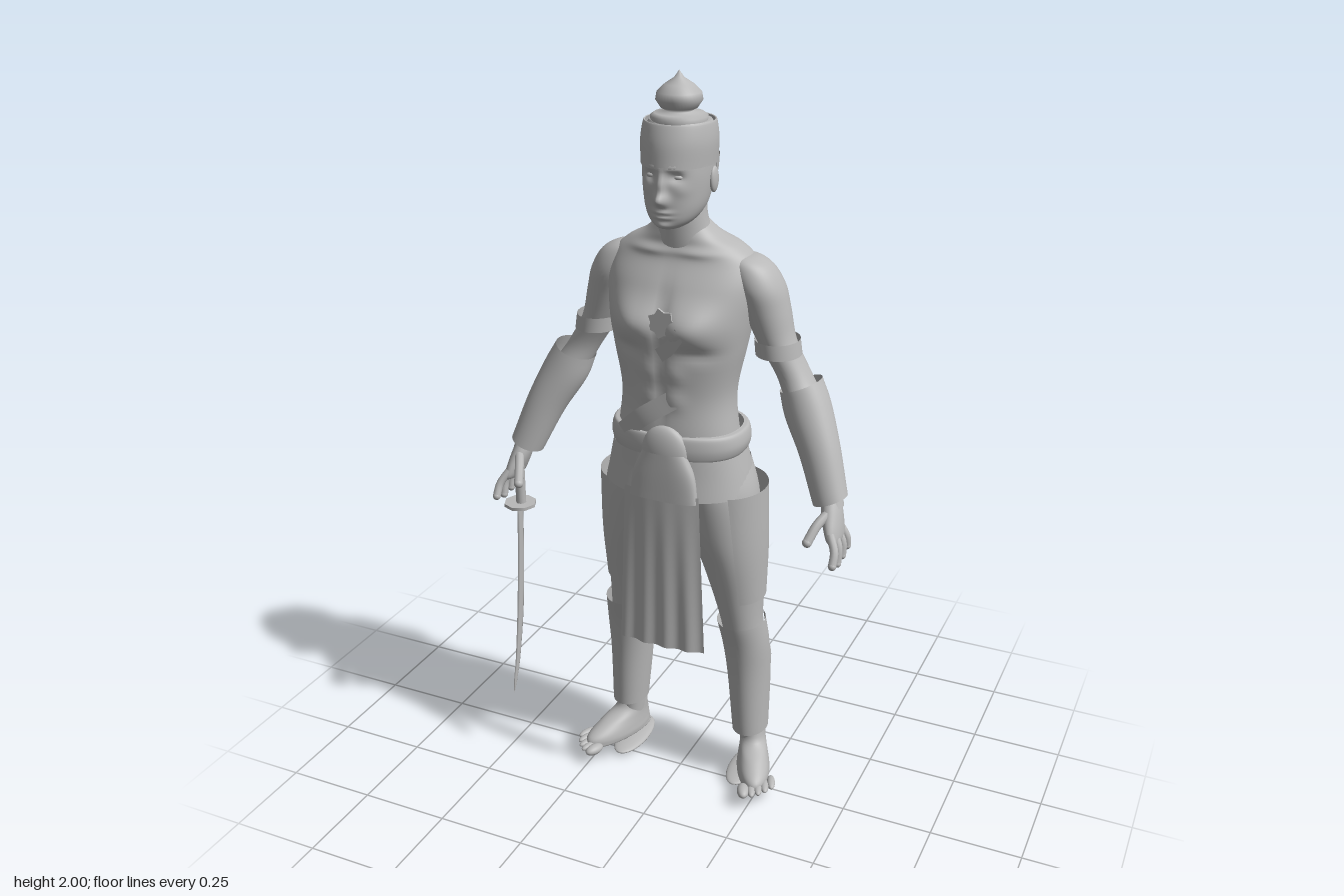
import * as THREE from 'three';

const grey = new THREE.MeshStandardMaterial({ color: 0xb8b8b8, side: THREE.DoubleSide });
grey.name = 'plain grey';

function mesh(name, geo, pos = [0, 0, 0], scale = [1, 1, 1]) {
  const m = new THREE.Mesh(geo, grey);
  m.name = name;
  m.position.set(...pos);
  m.scale.set(...scale);
  return m;
}
const ball = (name, pos, r) => mesh(name, new THREE.SphereGeometry(1, 24, 16), pos, r);

// Smooth skin over oval rings, listed from top to bottom as [x, y, z, halfWidth, halfDepth].
// s = -1 mirrors in x; bumps are [x, y, spreadX, spreadY, height, side] soft swellings in z.
function loft(name, rows, { s = 1, seg = 40, sub = 5, e = 2, tilt = 0, arc = null, bumps = [] } = {}) {
  const centre = new THREE.CatmullRomCurve3(rows.map(r => new THREE.Vector3(r[0], r[1], r[2])), false, 'catmullrom', 0.5);
  const size = new THREE.CatmullRomCurve3(rows.map(r => new THREE.Vector3(r[3], r[4], 0)), false, 'catmullrom', 0.5);
  const [a0, a1] = arc || [0, Math.PI * 2];
  const n = (rows.length - 1) * sub, cols = arc ? seg + 1 : seg;
  const pos = [], idx = [];
  const round = v => Math.sign(v) * Math.abs(v) ** (2 / e);
  for (let i = 0; i <= n; i++) {
    const c = centre.getPoint(i / n), r = size.getPoint(i / n);
    for (let j = 0; j < cols; j++) {
      const a = a0 + (a1 - a0) * j / seg;
      const dx = round(Math.cos(a)) * Math.max(r.x, 0), y = c.y + dx * tilt;
      let z = c.z + round(Math.sin(a)) * Math.max(r.y, 0);
      for (const [bx, by, sx, sy, h, side = 1] of bumps) {
        const facing = Math.max(0, Math.sin(a) * side);
        for (const m of bx ? [1, -1] : [1]) {
          z += side * h * facing * Math.exp(-(((c.x + dx - m * bx) / sx) ** 2) - ((y - by) / sy) ** 2);
        }
      }
      pos.push(s * (c.x + dx), y, z);
      if (i < n && (j < seg)) {
        const k = (j + 1) % cols, p = i * cols + j, q = i * cols + k;
        const t = [p, q, p + cols, q, q + cols, p + cols];
        idx.push(...(s < 0 ? t.reverse() : t));
      }
    }
  }
  const g = new THREE.BufferGeometry();
  g.setAttribute('position', new THREE.Float32BufferAttribute(pos, 3));
  g.setIndex(idx);
  g.computeVertexNormals();
  return mesh(name, g);
}

// Rounded finger through a few points
function finger(name, pts, r, s) {
  const v = pts.map(p => new THREE.Vector3(p[0] * s, p[1], p[2]));
  const g = new THREE.Group();
  g.name = name;
  g.add(mesh(name, new THREE.TubeGeometry(new THREE.CatmullRomCurve3(v), 10, r, 10)));
  g.add(ball(name + 'Tip', v[v.length - 1].toArray(), [r, r, r]));
  return g;
}

// Thin flat band through points, widened along the given direction
function ribbon(name, pts, wide) {
  const curve = new THREE.CatmullRomCurve3(pts.map(p => new THREE.Vector3(...p)));
  const w = new THREE.Vector3(...wide), g = new THREE.PlaneGeometry(1, 1, 1, 16), p = g.attributes.position;
  for (let i = 0; i < p.count; i++) {
    const v = curve.getPoint(0.5 - p.getY(i)).addScaledVector(w, p.getX(i));
    p.setXYZ(i, v.x, v.y, v.z);
  }
  g.computeVertexNormals();
  return mesh(name, g);
}

function buildHead() {
  const head = new THREE.Group();
  head.name = 'head';
  head.position.x = .008;
  head.add(loft('face', [
    [0, 1.885, .02, 0, 0], [0, 1.88, .02, .06, .065], [0, 1.85, .02, .082, .093], [0, 1.78, .025, .084, .105],
    [0, 1.73, .03, .081, .1], [0, 1.685, .042, .072, .086], [0, 1.655, .06, .054, .064], [0, 1.638, .075, .028, .036], [0, 1.634, .075, 0, 0],
  ], { seg: 96, sub: 10, e: 2.1, bumps: [
    [0, 1.712, .016, .016, .025], [0, 1.745, .01, .028, .014], [.034, 1.766, .018, .012, -.012], [.03, 1.79, .028, .008, .005],
    [0, 1.682, .024, .006, .009], [0, 1.669, .022, .005, .008], [0, 1.648, .022, .01, .008], [.05, 1.735, .018, .015, .004],
  ] }));
  head.add(loft('neck', [[-.004, 1.72, -.01, .06, .062], [-.004, 1.66, .0, .064, .056], [-.004, 1.61, -.008, .074, .062], [-.004, 1.56, -.02, .095, .07]]));
  for (const s of [1, -1]) {
    head.add(ball('eye', [s * .033, 1.765, .108], [.014, .007, .009]));
    head.add(ball('ear', [s * .085, 1.745, .01], [.009, .032, .02]));
  }
  // Headband, cap and bulb-shaped topknot
  head.add(loft('headband', [[0, 1.885, .02, .083, .088], [0, 1.882, .02, .088, .093], [0, 1.84, .022, .093, .104], [0, 1.785, .023, .09, .11]]));
  head.add(loft('hairBack', [[0, 1.8, .0, .088, .088], [0, 1.75, .0, .082, .084], [0, 1.7, .0, .062, .066]], { arc: [Math.PI, Math.PI * 2] }));
  head.add(mesh('cap', new THREE.CylinderGeometry(.075, .085, .015, 40), [.002, 1.878, .022]));
  const knot = [[.068, 1.88], [.07, 1.895], [.06, 1.902], [.03, 1.905], [.045, 1.914], [.057, 1.932], [.054, 1.95], [.035, 1.968], [.012, 1.983], [0, 2]];
  head.add(mesh('topknot', new THREE.LatheGeometry(knot.map(p => new THREE.Vector2(...p)), 40), [.002, 0, .03]));
  return head;
}

function buildTorso() {
  const body = new THREE.Group();
  body.name = 'body';
  body.add(loft('torso', [
    [0, 1.64, -.01, .06, .055], [0, 1.605, -.02, .098, .068], [0, 1.575, -.033, .152, .082], [0, 1.54, -.033, .188, .095], [0, 1.48, -.02, .2, .115],
    [0, 1.4, -.008, .19, .132], [0, 1.32, .0, .176, .128], [0, 1.2, .005, .153, .115], [0, 1.1, .008, .16, .118],
    [0, 1, 0, .178, .125], [0, .92, -.01, .165, .115], [0, .86, -.01, .09, .07], [0, .85, -.01, 0, 0],
  ], { seg: 80, sub: 8, e: 2.2, bumps: [
    [.085, 1.395, .07, .05, .03], [0, 1.4, .018, .08, -.014], [.1, 1.325, .05, .018, -.01],
    [.038, 1.27, .026, .025, .006], [.038, 1.2, .026, .025, .006], [0, 1.23, .01, .09, -.006], [.07, 1.565, .06, .012, .008],
    [.1, 1.45, .06, .08, .016, -1], [0, 1.35, .025, .2, -.016, -1], [.05, 1.17, .035, .08, .008, -1],
  ] }));
  // Shoulder-to-hip strap and chest ornament
  body.add(ribbon('frontStrap', [[.06, 1.385, .145], [.03, 1.345, .137], [0, 1.32, .132]], [.02, -.03, 0]));
  body.add(ribbon('bellyStrap', [[.03, 1.2, .121], [-.05, 1.145, .128], [-.11, 1.09, .115]], [.03, -.04, 0]));
  body.add(ribbon('backStrap', [[.06, 1.4, -.138], [0, 1.28, -.126], [-.1, 1.11, -.114]], [.045, .035, 0]));
  const badge = new THREE.Shape();
  for (let i = 0; i < 14; i++) {
    const a = i / 14 * Math.PI * 2, r = i % 2 ? .03 : .04;
    badge[i ? 'lineTo' : 'moveTo'](Math.cos(a) * r, Math.sin(a) * r);
  }
  body.add(mesh('chestOrnament', new THREE.ExtrudeGeometry(badge, { depth: .006, bevelEnabled: false }), [.01, 1.405, .131]));
  // Belt, hip sash and knots
  body.add(loft('belt', [[.003, 1.105, 0, .165, .122], [.003, 1.1, 0, .18, .132], [.003, 1.07, 0, .186, .136], [.003, 1.045, 0, .18, .134], [.003, 1.035, 0, .17, .13]], { e: 2.3, seg: 56 }));
  body.add(loft('hipSash', [[0, 1.045, 0, .178, .134], [0, .99, -.003, .19, .14], [0, .93, -.006, .202, .15]], { e: 2.3, seg: 56 }));
  body.add(ball('frontKnot', [.012, 1.055, .125], [.065, .075, .027]));
  body.add(loft('frontFan', [[.012, 1.06, .125, .06, .027], [.012, 1, .13, .085, .024], [.012, .93, .134, .095, .021]], { e: 2.6 }));
  body.add(ball('backKnot', [0, .99, -.138], [.055, .04, .015]));
  // Pleated front cloth, tail cloth and side strip
  const cloth = new THREE.PlaneGeometry(1, .46, 48, 8), p = cloth.attributes.position;
  for (let i = 0; i < p.count; i++) {
    const u = p.getX(i), d = .5 - p.getY(i) / .46;
    p.setXYZ(i, .007 + u * (.21 + .035 * d), p.getY(i) + .72, .149 - .05 * u * u + .004 * d * Math.sin(u * 24));
  }
  cloth.computeVertexNormals();
  body.add(mesh('frontCloth', cloth));
  body.add(ribbon('tailCloth', [[.05, .96, -.146], [.05, .87, -.142], [.055, .77, -.135]], [.08, -.01, 0]));
  body.add(ribbon('sideStrip', [[-.2, 1.03, -.05], [-.228, .8, -.05], [-.228, .6, -.06], [-.215, .42, -.085]], [.01, 0, .075]));
  return body;
}

function buildArm(s) {
  const arm = new THREE.Group();
  arm.name = s > 0 ? 'leftArm' : 'rightArm';
  arm.add(loft('armSkin', [
    [.155, 1.558, -.036, 0, 0], [.16, 1.552, -.036, .035, .04], [.178, 1.528, -.037, .055, .06], [.198, 1.48, -.04, .064, .072], [.218, 1.42, -.042, .06, .065],
    [.247, 1.34, -.042, .05, .054], [.295, 1.26, -.04, .046, .048], [.337, 1.19, -.022, .05, .05],
    [.385, 1.1, .01, .044, .044], [.425, 1.01, .043, .034, .032], [.442, .965, .055, .03, .032],
  ], { s }));
  arm.add(loft('armBand', [[.25, 1.35, -.035, .057, .066], [.255, 1.31, -.035, .058, .066]], { s, sub: 1 }));
  arm.add(loft('bracer', [[.319, 1.24, -.028, .052, .06], [.345, 1.18, -.014, .057, .06], [.39, 1.09, .016, .05, .052], [.435, .975, .05, .043, .044]], { s, tilt: .4 }));
  // Hand
  arm.add(loft('palm', [[.437, .99, .052, .022, .028], [.445, .955, .063, .026, .038], [.456, .915, .075, .023, .048], [.464, .887, .08, .016, .046], [.467, .88, .08, 0, 0]], { s }));
  for (let i = 0; i < 4; i++) {
    const z = .043 + i * .024, drop = [.01, 0, -.005, .005][i];
    arm.add(finger('finger', [[.46, .91, z], [.479, .875, z + (i - 1) * .008 + .005], [.481, .84 + drop, z + (i - 1) * .014 + .01]], .0108, s));
  }
  arm.add(finger('thumb', [[.443, .955, .085], [.425, .93, .12], [.412, .895, .15]], .0125, s));
  return arm;
}

function buildLeg(s) {
  const leg = new THREE.Group();
  leg.name = s > 0 ? 'leftLeg' : 'rightLeg';
  leg.add(loft('legSkin', [
    [.095, 1, -.01, .09, .12], [.11, .92, -.012, .1, .118], [.125, .8, -.02, .096, .108], [.145, .7, -.03, .084, .095], [.158, .6, -.038, .068, .08],
    [.168, .52, -.04, .057, .066], [.175, .45, -.055, .056, .07], [.18, .38, -.07, .06, .076], [.185, .28, -.075, .048, .062],
    [.19, .18, -.078, .038, .05], [.19, .12, -.083, .034, .046], [.19, .07, -.083, .03, .045],
  ], { s }));
  leg.add(loft('thighGuard', [[.128, .935, -.022, .106, .118], [.148, .76, -.03, .088, .108], [.156, .6, -.038, .076, .084]], { s, arc: [-2.5, 1.15] }));
  leg.add(loft('shinGuard', [[.17, .525, -.03, .065, .078], [.178, .44, -.05, .063, .074], [.183, .33, -.066, .058, .074], [.19, .155, -.066, .049, .064]], { s, arc: [-.9, Math.PI + .9] }));
  leg.add(loft('shinCuff', [[.187, .26, -.07, .052, .067], [.19, .155, -.066, .049, .064]], { s }));
  // Foot turned outward, with five toes
  const foot = new THREE.Group();
  foot.name = 'foot';
  foot.add(loft('footSkin', [[0, .15, 0, .034, .046], [0, .115, .008, .036, .054], [0, .09, .035, .04, .085], [0, .065, .058, .045, .112], [0, .045, .062, .047, .118], [0, .033, .06, .04, .11], [0, .032, .06, 0, 0]], { s }));
  for (let i = 0; i < 5; i++) {
    const r = i ? .0115 : .017;
    foot.add(ball('toe', [s * (-.031 + i * .019 + (i ? .004 : 0)), .044, .182 - i * i * .0025], [r, r * .85, .03]));
  }
  foot.position.set(s * .192, 0, -.085);
  foot.rotation.y = s * .4;
  leg.add(foot);
  leg.add(ball('soleDisc', [s * .18, .013, -.062], [.045, .013, .105]));
  return leg;
}

function buildSword() {
  const sword = new THREE.Group();
  sword.name = 'sword';
  sword.add(mesh('grip', new THREE.CylinderGeometry(.014, .014, .17, 16), [-.446, .87, .085]));
  sword.add(mesh('guard', new THREE.CylinderGeometry(.045, .045, .009, 8), [-.449, .8, .085]));
  // Curved blade with sharp front and back edges
  sword.add(loft('blade', [[-.45, .8, .085, .005, .016], [-.453, .65, .088, .005, .017], [-.457, .47, .1, .0045, .018], [-.461, .32, .12, .004, .014], [-.464, .25, .135, .003, .01], [-.466, .2, .145, 0, 0]], { seg: 8, e: 1.3 }));
  return sword;
}

export function createModel() {
  const model = new THREE.Group();
  model.name = 'swordsman';
  model.add(buildHead(), buildTorso(), buildSword());
  for (const s of [1, -1]) model.add(buildArm(s), buildLeg(s));
  return model;
}
